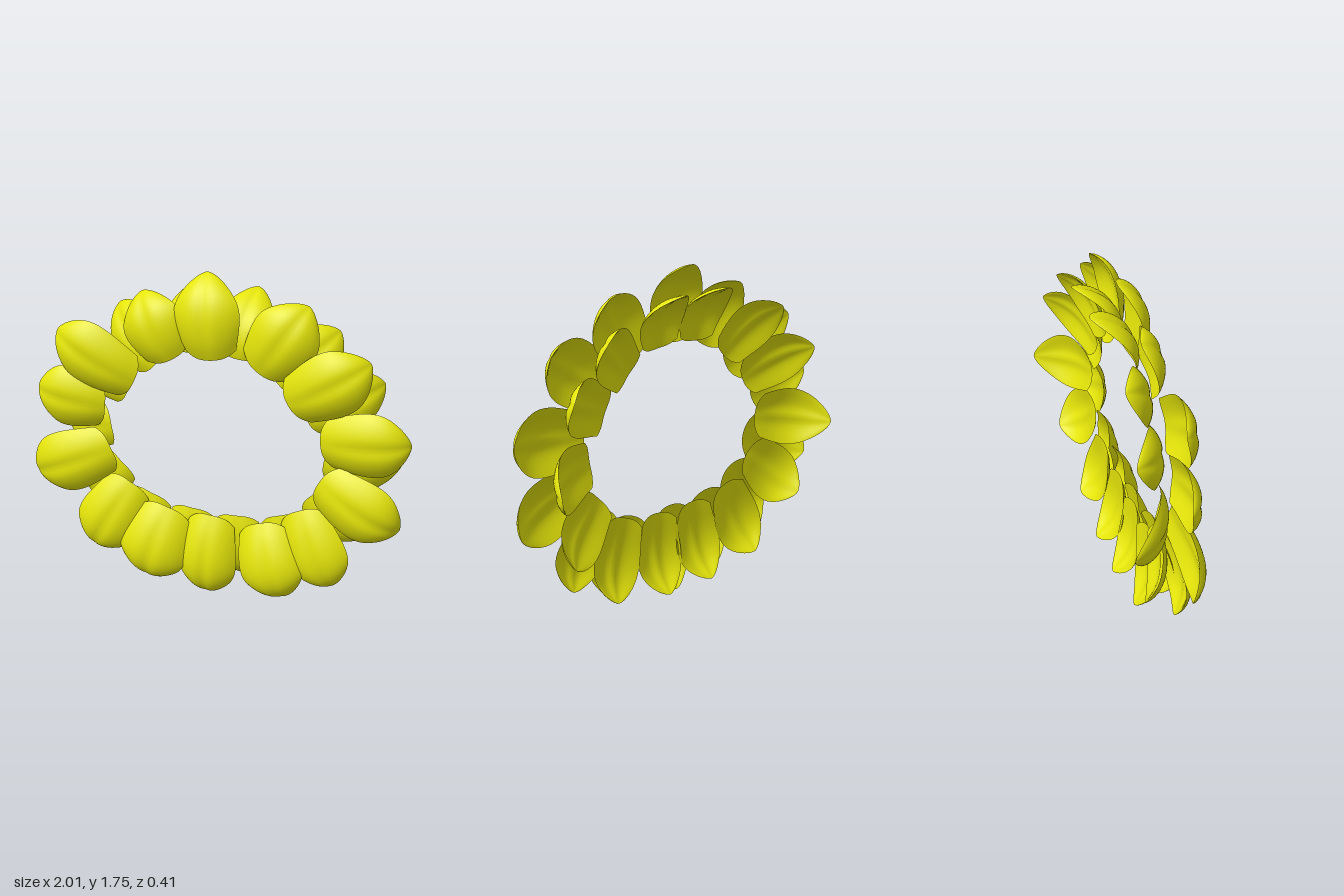
import * as THREE from 'three';

const ROWS = 20, COLS = 16;

// Half-width along a petal: narrower base, widest before the middle, softly pointed tip
function outline(u) {
  const swell = 0.72 + 0.28 * Math.sin(Math.min(u / 0.42, 1) * Math.PI / 2);
  return u < 0.42 ? swell : swell * Math.pow(Math.max(0, 1 - Math.pow((u - 0.42) / 0.58, 2.1)), 0.66);
}

// Thin cupped petal swept along a curve that arches forward and curls back
function petalGeometry(base, tip, belly, width, cup, curl) {
  const ctrl = base.clone().lerp(tip, curl).setZ(belly);
  const path = new THREE.QuadraticBezierCurve3(base, ctrl, tip);
  const across = new THREE.Vector3(base.y - tip.y, tip.x - base.x, 0).normalize();
  const positions = [], index = [];
  for (const side of [1, -1]) {
    const start = positions.length / 3;
    for (let i = 0; i <= ROWS; i++) {
      const row = 1 - Math.pow(1 - i / ROWS, 1.6);
      for (let j = 0; j <= COLS; j++) {
        const v = j / COLS * 2 - 1;
        const u = row + 0.05 * v ** 4 * (1 - row); // rounded base corners
        const p = path.getPoint(u);
        const normal = path.getTangent(u).cross(across).normalize();
        const spread = outline(u);
        const groove = 0.012 * Math.exp(-v * v * 25) * Math.sin(Math.PI * u);
        const bend = -cup * v * v * spread * (0.35 + 0.65 * spread) - groove;
        const thick = 0.008 * (1 - v ** 6) * (1 - (2 * row - 1) ** 8);
        p.addScaledVector(across, spread * width / 2 * v).addScaledVector(normal, bend + side * thick);
        positions.push(p.x, p.y, p.z);
      }
    }
    for (let i = 0; i < ROWS; i++) {
      for (let j = 0; j < COLS; j++) {
        const a = start + i * (COLS + 1) + j, b = a + COLS + 1;
        if (side > 0) index.push(a, b, a + 1, b, b + 1, a + 1);
        else index.push(a, a + 1, b, b, a + 1, b + 1);
      }
    }
  }
  const geometry = new THREE.BufferGeometry();
  geometry.setAttribute('position', new THREE.Float32BufferAttribute(positions, 3));
  geometry.setIndex(index);
  geometry.computeVertexNormals();
  return geometry;
}

// Each petal: base x, y, z, tip x, y, z, forward belly z, width
const frontPetals = [
  [0, 1.35, 0.1, -0.06, 1.755, -0.03, 0.2, 0.34],
  [0.24, 1.31, 0.08, 0.46, 1.65, -0.01, 0.18, 0.34],
  [0.4, 1.17, 0.1, 0.78, 1.42, 0.03, 0.22, 0.33],
  [0.56, 0.98, 0.08, 1.0, 1.03, 0.04, 0.19, 0.34],
  [0.56, 0.77, 0.09, 0.97, 0.56, 0.05, 0.23, 0.34],
  [0.46, 0.59, 0.08, 0.65, 0.19, 0.08, 0.25, 0.33],
  [0.26, 0.49, 0.1, 0.4, 0.08, 0.09, 0.31, 0.34],
  [0, 0.48, 0.09, -0.03, 0.005, 0.06, 0.27, 0.32],
  [-0.24, 0.49, 0.1, -0.36, 0.06, 0.09, 0.31, 0.37],
  [-0.44, 0.59, 0.09, -0.67, 0.18, 0.08, 0.26, 0.34],
  [-0.55, 0.77, 0.09, -1.0, 0.56, 0.05, 0.23, 0.34],
  [-0.58, 1.0, 0.08, -0.97, 1.04, 0.04, 0.19, 0.34],
  [-0.41, 1.17, 0.1, -0.84, 1.38, 0.05, 0.22, 0.34],
  [-0.22, 1.31, 0.08, -0.4, 1.62, -0.02, 0.18, 0.34],
];

// Right half of the rear ring, mirrored to the left
const backHalf = [
  [0.12, 1.35, 0.04, 0.15, 1.65, -0.19, 0.08, 0.29],
  [0.32, 1.25, 0.03, 0.58, 1.49, -0.15, 0.04, 0.29],
  [0.47, 1.09, 0.03, 0.81, 1.24, -0.17, 0.04, 0.29],
  [0.57, 0.87, 0.03, 0.92, 0.81, -0.21, 0.04, 0.31],
  [0.52, 0.67, 0.03, 0.78, 0.41, -0.11, 0.06, 0.31],
  [0.35, 0.52, 0.04, 0.49, 0.13, -0.07, 0.1, 0.31],
  [0.12, 0.48, 0.05, 0.15, 0.075, -0.08, 0.11, 0.3],
];

export function createModel() {
  const yellow = new THREE.MeshStandardMaterial({ color: 0xe4e40a });
  yellow.name = 'petalYellow';
  const model = new THREE.Group();
  model.name = 'petalRing';

  function addRing(name, petals, cup, curl) {
    const ring = new THREE.Group();
    ring.name = name + 's';
    petals.forEach(([bx, by, bz, tx, ty, tz, belly, width], i) => {
      const base = new THREE.Vector3(bx, by, bz), tip = new THREE.Vector3(tx, ty, tz);
      const petal = new THREE.Mesh(petalGeometry(base, tip, belly, width, cup, curl), yellow);
      petal.name = name + (i + 1);
      ring.add(petal);
    });
    model.add(ring);
  }

  const mirrored = backHalf.map(([bx, by, bz, tx, ...rest]) => [-bx, by, bz, -tx, ...rest]);
  addRing('frontPetal', frontPetals, 0.062, 0.77);
  addRing('backPetal', [...backHalf, ...mirrored], 0.045, 0.82);
  return model;
}
